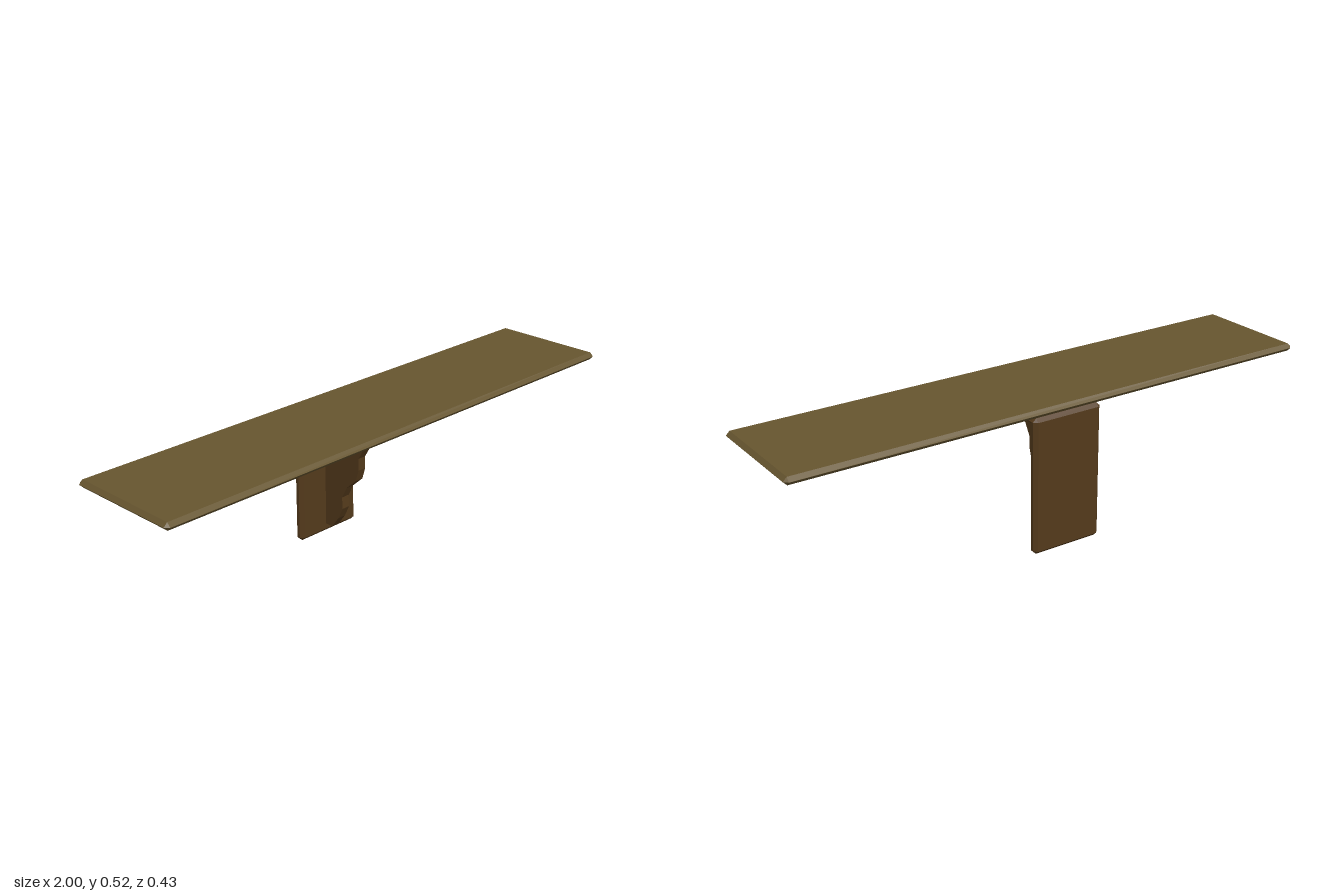
import * as THREE from 'three';
import { ConvexGeometry } from 'three/addons/geometries/ConvexGeometry.js';

const boardMaterial = new THREE.MeshStandardMaterial({ color: 0x66552f, flatShading: true });
const bracketMaterial = new THREE.MeshStandardMaterial({ color: 0x543a1b, flatShading: true });

// Box between two corners with all edges chamfered by c
function chamferedBox(name, min, max, c, material) {
  const points = [];
  for (const sx of [0, 1]) for (const sy of [0, 1]) for (const sz of [0, 1]) {
    const side = [sx, sy, sz];
    for (let axis = 0; axis < 3; axis++) {
      const p = side.map((s, i) => {
        const inset = i === axis ? 0 : c;
        return s ? max[i] - inset : min[i] + inset;
      });
      points.push(new THREE.Vector3(...p));
    }
  }
  const mesh = new THREE.Mesh(new ConvexGeometry(points), material);
  mesh.name = name;
  return mesh;
}

// Side profile given as [z, y], extruded across x and centred
function profileSlab(name, profile, width, material) {
  const shape = new THREE.Shape(profile.map(([z, y]) => new THREE.Vector2(-z, y)));
  const geometry = new THREE.ExtrudeGeometry(shape, { depth: width, bevelEnabled: false });
  geometry.translate(0, 0, -width / 2);
  geometry.rotateY(Math.PI / 2);
  const mesh = new THREE.Mesh(geometry, material);
  mesh.name = name;
  return mesh;
}

export function createModel() {
  const group = new THREE.Group();
  group.name = 'wallShelf';

  // Long shelf board
  group.add(chamferedBox('shelfBoard', [-1, 0.49, -0.215], [1, 0.517, 0.215], 0.0132, boardMaterial));

  // Bracket: wall plate, top arm and the small fillet where they meet
  group.add(chamferedBox('wallPlate', [-0.133, 0, -0.215], [0.133, 0.49, -0.178], 0.0125, bracketMaterial));
  group.add(chamferedBox('topArm', [-0.133, 0.464, -0.215], [0.133, 0.49, 0.119], 0.0128, bracketMaterial));
  group.add(profileSlab('cornerFillet',
    [[-0.165, 0.465], [-0.179, 0.465], [-0.179, 0.452]], 0.24, bracketMaterial));

  // Scrolled brace in the middle of the bracket
  group.add(profileSlab('brace', [
    [-0.18, 0.466], [0.081, 0.466], [0.081, 0.42], [0.011, 0.378], [-0.015, 0.334],
    [-0.015, 0.29], [-0.028, 0.247], [-0.073, 0.206], [-0.096, 0.162],
    [-0.094, 0.118], [-0.115, 0.075], [-0.147, 0.032], [-0.18, 0.032],
  ], 0.032, bracketMaterial));

  return group;
}
